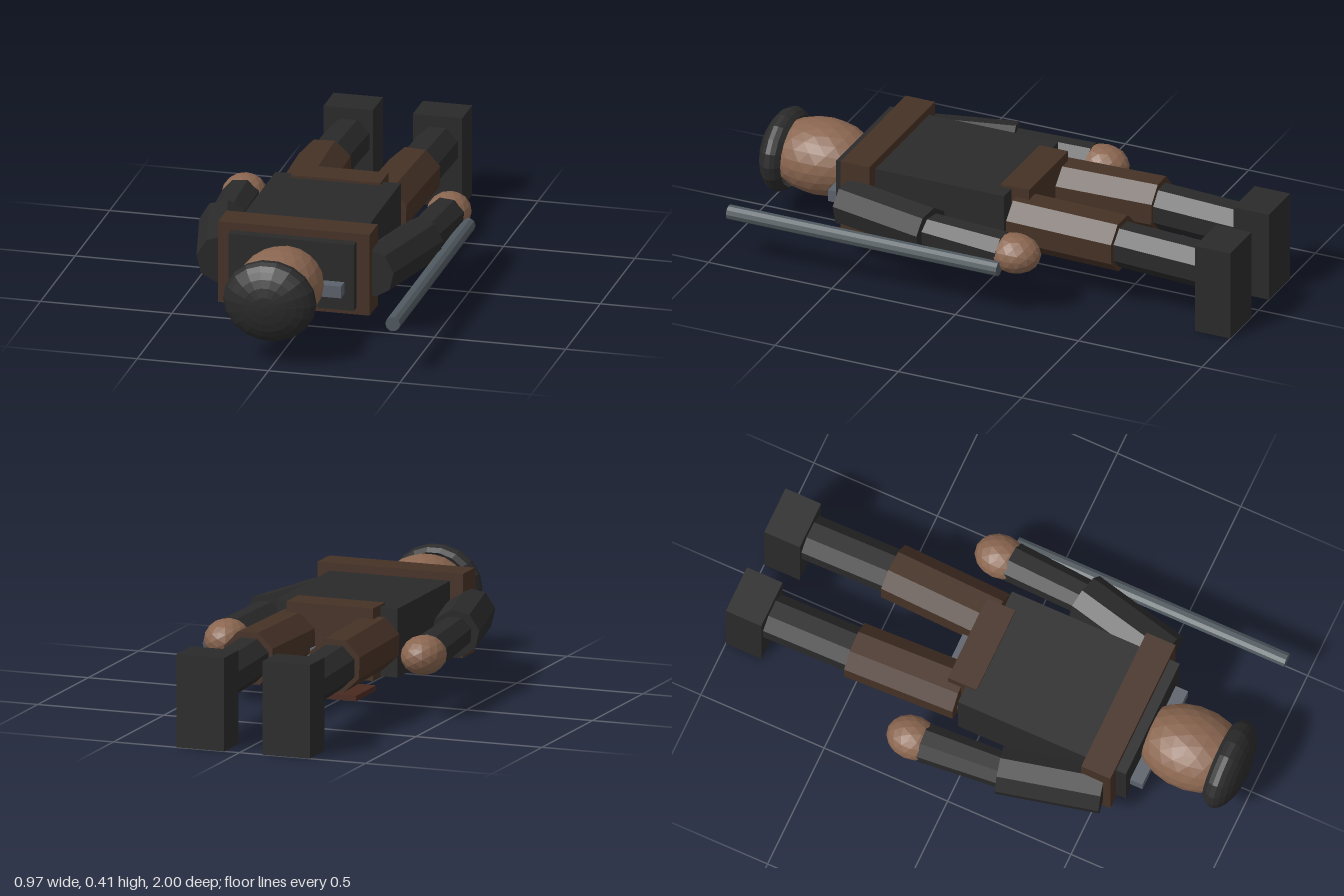
import * as THREE from 'three';

const mat = (color) => new THREE.MeshStandardMaterial({ color, flatShading: true, side: THREE.DoubleSide });
const CX = -0.015; // the body's own mid-line

export function createModel() {
  const model = new THREE.Group();
  model.name = 'lyingFigure';
  const cloth = mat(0x2a2a2a), leather = mat(0x463226), skin = mat(0x8a6650);
  const steel = mat(0x5c626c), steelDark = mat(0x505a60), redLeather = mat(0x4a2a20);

  const add = (parent, name, geometry, material) => {
    const mesh = new THREE.Mesh(geometry, material);
    mesh.name = name;
    parent.add(mesh);
    return mesh;
  };

  // Box given by its extents on each axis
  const box = (parent, name, [x0, x1], [y0, y1], [z0, z1], material) => {
    const mesh = add(parent, name, new THREE.BoxGeometry(x1 - x0, y1 - y0, z1 - z0), material);
    mesh.position.set((x0 + x1) / 2, (y0 + y1) / 2, (z0 + z1) / 2);
    return mesh;
  };

  // Eight-sided limb between two points, with a flat side up
  const limb = (parent, name, from, to, r0, r1, material, sides = 8) => {
    const a = new THREE.Vector3(...from), b = new THREE.Vector3(...to);
    const geometry = new THREE.CylinderGeometry(r1, r0, a.distanceTo(b), sides);
    geometry.rotateY(Math.PI / sides);
    const mesh = add(parent, name, geometry, material);
    mesh.position.copy(a).add(b).multiplyScalar(0.5);
    mesh.quaternion.setFromUnitVectors(new THREE.Vector3(0, 1, 0), b.sub(a).normalize());
    return mesh;
  };

  const ball = (parent, name, position, radii, material, detail) => {
    const mesh = add(parent, name, new THREE.IcosahedronGeometry(1, detail), material);
    mesh.position.set(...position);
    mesh.scale.set(...radii);
    return mesh;
  };

  // Torso with its bands
  box(model, 'torso', [-0.255, 0.222], [0.116, 0.375], [-0.07, 0.61], cloth);
  box(model, 'shoulderBand', [-0.305, 0.272], [0.088, 0.405], [0.452, 0.57], leather);
  box(model, 'belt', [-0.187, 0.156], [0.112, 0.385], [-0.142, -0.026], leather);
  box(model, 'backPouch', [-0.102, 0.07], [0.02, 0.04], [-0.1, 0.1], redLeather);
  box(model, 'spineBar', [-0.218, 0.186], [0.18, 0.226], [-0.188, 0.66], steel);

  // Head and open-rimmed cap
  ball(model, 'head', [CX - 0.002, 0.247, 0.77], [0.158, 0.142, 0.21], skin, 3);
  const capGeometry = new THREE.SphereGeometry(1, 18, 9, 0, Math.PI * 2, 0, Math.PI * 0.68);
  capGeometry.rotateX(Math.PI / 2);
  const cap = add(model, 'cap', capGeometry, cloth);
  cap.position.set(CX - 0.001, 0.245, 0.92);
  cap.scale.set(0.177, 0.157, 0.078);

  // Arms and legs, mirrored about the mid-line
  for (const s of [-1, 1]) {
    const side = s < 0 ? 'right' : 'left';
    const at = (x, y, z) => [CX + s * x, y, z];

    const arm = new THREE.Group();
    arm.name = side + 'Arm';
    limb(arm, 'upperArm', at(0.287, 0.245, 0.54), at(0.376, 0.245, 0.16), 0.092, 0.092, cloth);
    limb(arm, 'forearm', at(0.37, 0.246, 0.19), at(0.39, 0.234, -0.14), 0.067, 0.075, cloth);
    ball(arm, 'hand', at(0.39, 0.237, -0.185), [0.083, 0.074, 0.1], skin, 2);
    model.add(arm);

    const leg = new THREE.Group();
    leg.name = side + 'Leg';
    limb(leg, 'thigh', at(0.155, 0.247, -0.09), at(0.17, 0.247, -0.522), 0.106, 0.106, leather);
    limb(leg, 'shin', at(0.169, 0.244, -0.5), at(0.169, 0.228, -0.87), 0.086, 0.086, cloth);
    const bootX = CX + s * 0.17;
    box(leg, 'boot', [bootX - 0.094, bootX + 0.094], [0, 0.352], [-1, -0.856], cloth);
    model.add(leg);
  }

  // Staff lying beside the left hand
  limb(model, 'staff', [0.456, 0.203, -0.157], [0.456, 0.203, 0.937], 0.028, 0.028, steelDark, 10);

  return model;
}
